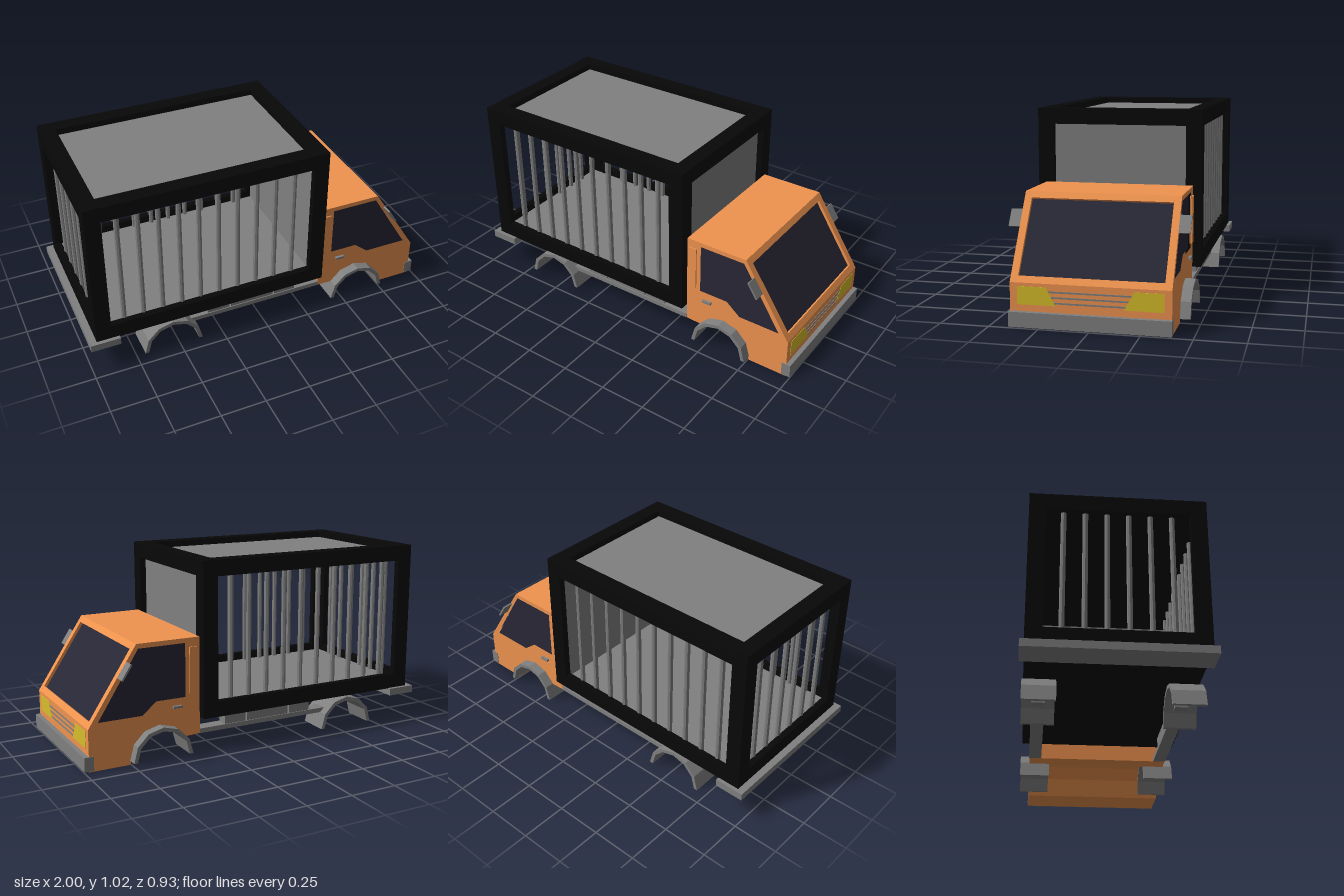
import * as THREE from 'three';

const mat = (color) => new THREE.MeshStandardMaterial({ color, flatShading: true });

export function createModel() {
  const model = new THREE.Group();
  const grey = mat(0x808080), black = mat(0x080808), orange = mat(0xf0944f);
  const glass = mat(0x292736), yellow = mat(0xd8be2c);

  const add = (name, geometry, material) => {
    const mesh = new THREE.Mesh(geometry, material);
    mesh.name = name;
    model.add(mesh);
    return mesh;
  };
  // Box given by its limits on each axis
  const box = (name, m, x0, x1, y0, y1, z0, z1) => {
    const mesh = add(name, new THREE.BoxGeometry(x1 - x0, y1 - y0, z1 - z0), m);
    mesh.position.set((x0 + x1) / 2, (y0 + y1) / 2, (z0 + z1) / 2);
    return mesh;
  };
  // The same box on both sides of the truck
  const pair = (name, m, x0, x1, y0, y1, z0, z1) => {
    box(name + 'Left', m, x0, x1, y0, y1, z0, z1);
    box(name + 'Right', m, x0, x1, y0, y1, -z1, -z0);
  };
  // Side outline, with an optional hole, extruded from z0 to z1
  const points = (pts) => pts.map(([x, y]) => new THREE.Vector2(x, y));
  const slab = (name, m, pts, z0, z1, hole) => {
    const shape = new THREE.Shape(points(pts));
    if (hole) shape.holes.push(new THREE.Path(points(hole)));
    const mesh = add(name, new THREE.ExtrudeGeometry(shape, { depth: z1 - z0, bevelEnabled: false }), m);
    mesh.position.z = z0;
    return mesh;
  };
  const slabPair = (name, m, pts, z0, z1, hole) => {
    slab(name + 'Left', m, pts, z0, z1, hole);
    slab(name + 'Right', m, pts, -z1, -z0, hole);
  };
  // Six-sided half circle, from front to back
  const arch = (cx, r) => Array.from({ length: 7 }, (_, i) => {
    const a = i * Math.PI / 6;
    return [cx + r * Math.cos(a), 0.022 + r * Math.sin(a)];
  });

  // Cage: flat rectangular frames of width T and depth D around a floor plate
  const X0 = -0.962, X1 = 0.358, Y0 = 0.193, Y1 = 1.02, Z = 0.442, T = 0.084, D = 0.035;
  const XM = (X0 + X1) / 2, YM = (Y0 + Y1) / 2;
  const rect = (w, h) => [[-w / 2, -h / 2], [w / 2, -h / 2], [w / 2, h / 2], [-w / 2, h / 2]];
  const frame = (name, w, h, x, y, z, rx, ry) => {
    const mesh = slab(name, black, rect(w, h), 0, D, rect(w - 2 * T, h - 2 * T));
    mesh.geometry.translate(0, 0, -D / 2);
    mesh.position.set(x, y, z);
    mesh.rotation.set(rx, ry, 0);
  };
  for (const s of [1, -1]) frame('cageSideFrame', X1 - X0, Y1 - Y0, XM, YM, s * (Z - D / 2), 0, 0);
  frame('cageRearFrame', 2 * Z, Y1 - Y0, X0 + D / 2, YM, 0, 0, Math.PI / 2);
  frame('cageFrontFrame', 2 * Z, Y1 - Y0, X1 - D / 2, YM, 0, 0, Math.PI / 2);
  frame('cageTopFrame', X1 - X0, 2 * Z, XM, Y1 - D / 2, 0, Math.PI / 2, 0);

  // Cage panels
  box('roofPanel', grey, X0 + D, X1 - D, 0.965, Y1 - D, D - Z, Z - D);
  box('ceiling', black, X0 + D, X1 - D, 0.95, 0.965, D - Z, Z - D);
  box('frontPanel', grey, 0.3, X1 - D, 0.23, 0.95, D - Z, Z - D);
  box('cageFloor', grey, X0 + D, X1 - D, 0.215, 0.235, D - Z, Z - D);
  box('cageUnderside', black, X0 + D, X1 - D, Y0, 0.215, D - Z, Z - D);

  // Cage bars on the sides and the rear
  const bar = (x, z) => {
    const mesh = add('cageBar', new THREE.CylinderGeometry(0.014, 0.014, 0.72, 8), grey);
    mesh.position.set(x, 0.592, z);
  };
  for (let i = 0; i < 10; i++)
    for (const s of [1, -1]) bar(-0.794 + i * 0.108, s * 0.4);
  for (let i = 0; i < 6; i++) bar(-0.92, -0.27 + i * 0.108);

  // Chassis rails with side boxes
  pair('chassisRail', grey, -0.47, 0.36, 0.105, 0.13, 0.33, 0.4);
  for (const [x0, x1] of [[-0.32, -0.192], [-0.183, 0.075], [0.084, 0.21]])
    pair('sideBox', grey, x0, x1, 0.13, 0.195, 0.335, 0.395);

  // Bumpers
  box('rearBumper', grey, -1, -0.838, 0.155, 0.195, -0.463, 0.463);
  box('frontBumper', grey, 0.95, 1, 0.005, 0.08, -0.4, 0.4);

  // Cab: a core with the windshield recess, and a cheek with a window opening on each side
  const cut = arch(0.59, 0.158).slice(1, 6);
  const back = [[0.36, 0.105], [0.36, 0.625], [0.71, 0.625]];
  const nose = [[0.975, 0.22], [0.975, 0], [0.755, 0], ...cut];
  const recess = [[0.73, 0.595], [0.713, 0.584], [0.939, 0.239], [0.955, 0.25]];
  const pane = [[0.435, 0.6], [0.7, 0.6], [0.925, 0.245], [0.68, 0.245], [0.6, 0.31], [0.435, 0.31]];
  slab('cabCore', orange, [...back, ...recess, ...nose], -0.36, 0.36);
  slabPair('cabSide', orange, [...back, ...nose], 0.36, 0.397, pane);

  // Windows, set slightly into the cab
  slabPair('sideWindow', glass, pane, 0.36, 0.385);
  slab('windshield', glass, [[0.713, 0.584], [0.716, 0.586], [0.942, 0.241], [0.939, 0.239]], -0.36, 0.36);

  // Fenders
  for (const cx of [0.59, -0.541])
    slabPair('fender', grey, [...arch(cx, 0.166), ...arch(cx, 0.146).reverse()], 0.28, 0.45);

  // Mirrors, door handles and door pillar vents
  for (const s of [1, -1]) {
    const mirror = box('mirror', grey, 0.78, 0.79, 0.453, 0.547, 0.395, 0.455);
    mirror.position.z *= s;
    mirror.rotation.z = Math.atan2(0.265, 0.405);
  }
  pair('doorHandle', grey, 0.465, 0.515, 0.264, 0.276, 0.39, 0.413);
  pair('pillarVent', orange, 0.372, 0.418, 0.33, 0.577, 0.39, 0.404);

  // Headlights and grille on the nose
  for (const s of [1, -1]) {
    const lamp = slab('headlight', yellow,
      [[s * 0.36, 0.113], [s * 0.36, 0.203], [s * 0.215, 0.203], [s * 0.167, 0.113]], 0, 0.01);
    lamp.rotation.y = Math.PI / 2;
    lamp.position.x = 0.967;
  }
  for (const [y, w] of [[0.181, 0.203], [0.154, 0.188], [0.127, 0.174]])
    box('grilleBar', grey, 0.967, 0.978, y - 0.004, y + 0.004, -w, w);

  return model;
}
